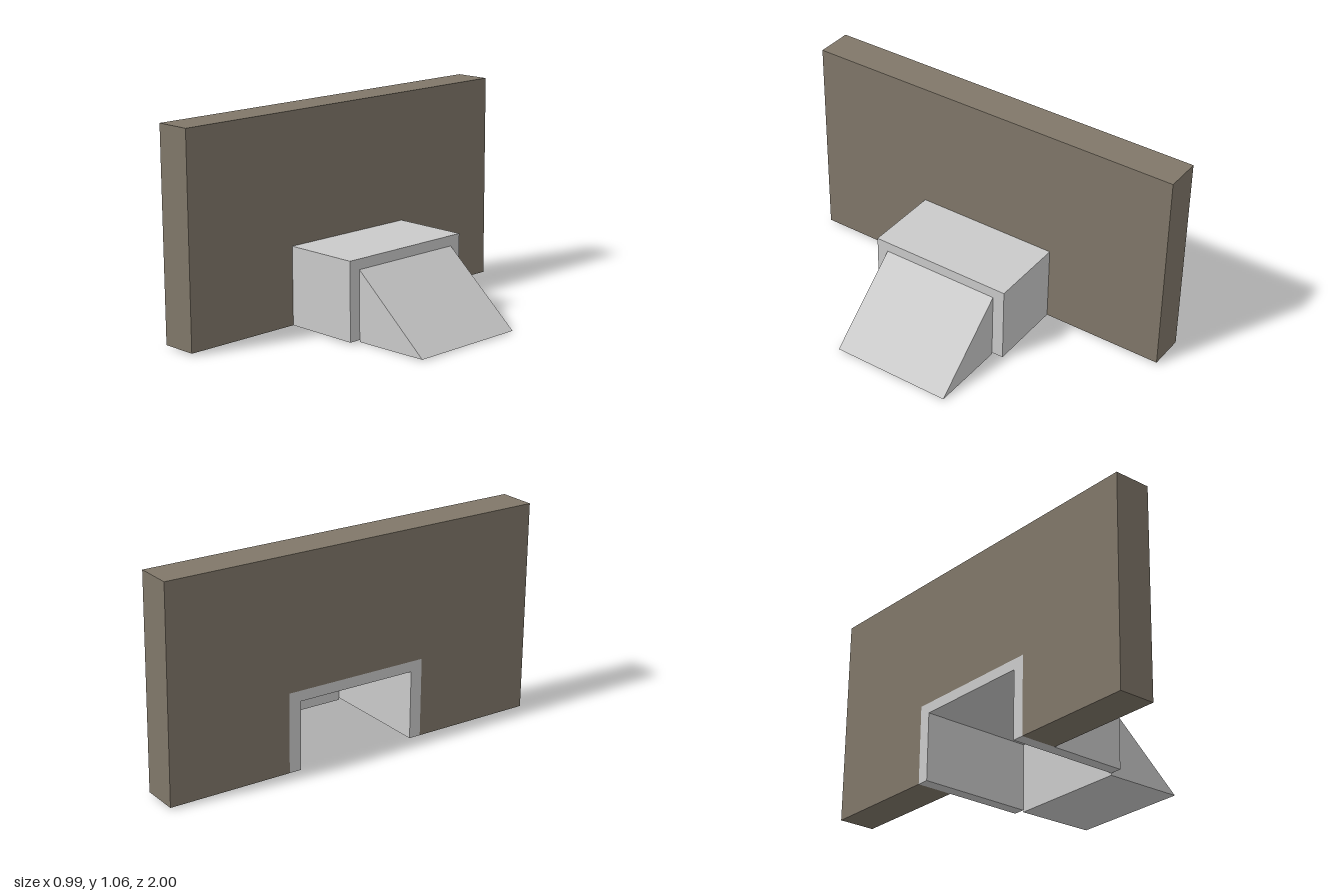
import * as THREE from 'three';

const wallMaterial = new THREE.MeshStandardMaterial({ name: 'taupe wall', color: 0x807769 });
const greyMaterial = new THREE.MeshStandardMaterial({ name: 'light grey', color: 0xcacaca });

function outline(points) {
  return new THREE.Shape(points.map(([a, b]) => new THREE.Vector2(a, b)));
}

// An upside-down U: outer half width and top, opening half width and top
function archOutline(outerHalf, outerTop, innerHalf, innerTop, base) {
  return outline([
    [-outerHalf, base], [-innerHalf, base], [-innerHalf, innerTop], [innerHalf, innerTop],
    [innerHalf, base], [outerHalf, base], [outerHalf, outerTop], [-outerHalf, outerTop],
  ]);
}

// Extrudes an outline drawn in the z-y plane from x0 to x1
function extrudeAlongX(shape, x0, x1) {
  const geometry = new THREE.ExtrudeGeometry(shape, { depth: x1 - x0, bevelEnabled: false });
  return geometry.rotateY(Math.PI / 2).translate(x0, 0, 0);
}

function addPart(group, name, geometry, material) {
  const mesh = new THREE.Mesh(geometry, material);
  mesh.name = name;
  group.add(mesh);
}

export function createModel() {
  const group = new THREE.Group();
  group.name = 'wallWithRampedPassage';

  const base = 0.01;
  const back = -0.498, wallFace = -0.312, passageEnd = 0.085, rampTip = 0.492;
  const passageHalf = 0.373, passageTop = 0.404;
  const openingHalf = 0.312, openingTop = 0.352;

  // Long wall, notched where the passage runs through it
  addPart(group, 'wall',
    extrudeAlongX(archOutline(1, 1.06, passageHalf, passageTop, base), back, wallFace), wallMaterial);

  // Hollow passage, open underneath and flush with the back of the wall
  addPart(group, 'passage',
    extrudeAlongX(archOutline(passageHalf, passageTop, openingHalf, openingTop, base), back, passageEnd),
    greyMaterial);

  // Wedge-shaped ramp at the end of the passage
  const wedge = outline([
    [passageEnd, 0], [0.31, 0.003], [rampTip, 0.006], [passageEnd, openingTop],
  ]);
  const rampGeometry = new THREE.ExtrudeGeometry(wedge, { depth: 2 * openingHalf, bevelEnabled: false });
  addPart(group, 'ramp', rampGeometry.translate(0, 0, -openingHalf), greyMaterial);

  return group;
}
